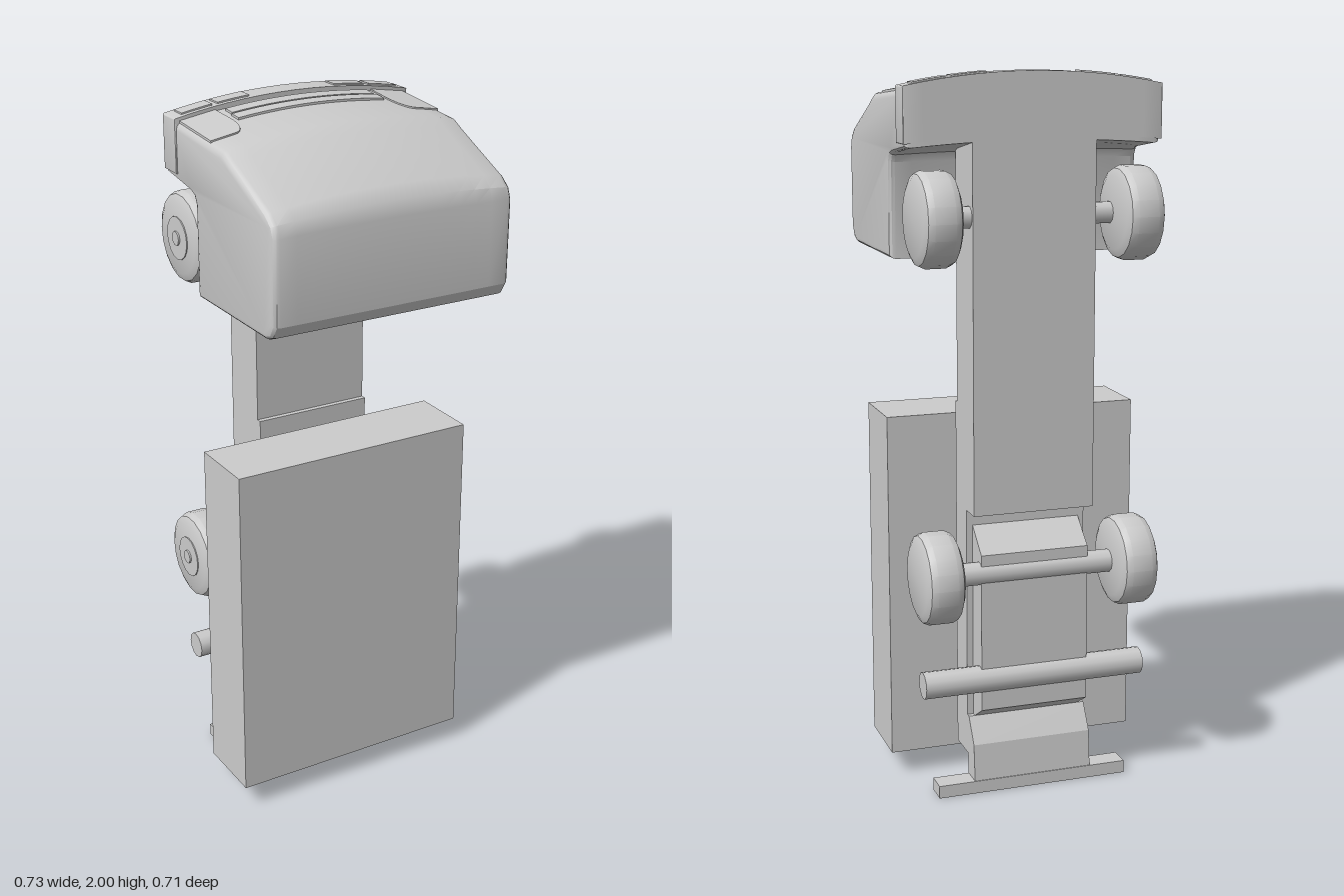
import * as THREE from 'three';
import { toCreasedNormals } from 'three/addons/utils/BufferGeometryUtils.js';

const mat = new THREE.MeshStandardMaterial({ color: 0xcccccc });

function add(parent, name, geo, x = 0, y = 0, z = 0) {
  const mesh = new THREE.Mesh(geo, mat);
  mesh.name = name;
  mesh.position.set(x, y, z);
  parent.add(mesh);
  return mesh;
}

// Sideways extrusion of a [z, y] profile, centred on x = 0
function sideExtrude(points, width, bevel = 0, steps = 1) {
  const shape = new THREE.Shape(points.map(([z, y]) => new THREE.Vector2(z, y)));
  const geo = new THREE.ExtrudeGeometry(shape, {
    depth: width - 2 * bevel, steps, bevelEnabled: bevel > 0,
    bevelSize: bevel, bevelThickness: bevel, bevelOffset: -bevel, bevelSegments: 3,
  });
  geo.translate(0, 0, -(width - 2 * bevel) / 2);
  geo.rotateY(-Math.PI / 2);
  return geo;
}

function moveY(geo, rule) {
  const p = geo.attributes.position;
  for (let i = 0; i < p.count; i++) p.setY(i, rule(p.getX(i), p.getY(i), p.getZ(i)));
  return toCreasedNormals(geo, 0.5);
}

// The nose of the cab is crowned: it falls away towards both sides
const crown = (x) => 0.035 * (x / 0.355) ** 2;
const bend = (x, y) => y - crown(x) * THREE.MathUtils.clamp((y - 1.75) / 0.15, 0, 1);
const noseY = (x, z) => 1.985 - 0.078 * (z + 0.165) - crown(x);

function addCab(parent) {
  const cab = new THREE.Group();
  cab.name = 'cab';
  parent.add(cab);

  // Body with stepped wheel arch on its underside
  const body = [
    [-0.07, 1.5], [0.305, 1.5], [0.335, 1.512], [0.355, 1.545], [0.357, 1.78], [0.345, 1.82],
    [0.315, 1.852], [0.13, 1.945], [0.09, 1.965], [-0.165, 1.985], [-0.235, 1.985],
    [-0.235, 1.82], [-0.1, 1.795], [-0.08, 1.785], [-0.07, 1.76],
  ];
  add(cab, 'cabBody', moveY(sideExtrude(body, 0.71, 0.018, 14), bend));

  // Bumper
  const bumper = [[-0.165, 1.835], [-0.165, 1.998], [-0.238, 1.998], [-0.238, 1.835]];
  add(cab, 'frontBumper', moveY(sideExtrude(bumper, 0.718, 0.004, 14), bend));

  // Grille slats
  [[-0.131, 0.435], [-0.086, 0.445]].forEach(([z, w]) => {
    const slat = new THREE.BoxGeometry(w, 0.012, 0.038, 12, 1, 1).translate(0, 0, z);
    add(cab, 'grilleSlat', moveY(slat, (x, y, zz) => noseY(x, zz) + y));
  });

  for (const s of [-1, 1]) {
    // Lamps set in the bumper
    [[0.286, 0.09], [0.178, 0.095]].forEach(([cx, w]) => {
      const lamp = new THREE.BoxGeometry(w, 0.01, 0.046, 4, 1, 1).translate(s * cx, 0, -0.203);
      add(cab, 'bumperLamp', moveY(lamp, (x, y) => 1.997 - crown(x) + y));
    });

    // Corner panels with a swept inner edge
    const panel = new THREE.Shape();
    panel.moveTo(s * 0.345, -0.165);
    panel.lineTo(s * 0.24, -0.165);
    panel.lineTo(s * 0.237, -0.07);
    panel.quadraticCurveTo(s * 0.242, 0.013, s * 0.275, 0.014);
    panel.lineTo(s * 0.345, 0.014);
    const geo = new THREE.ExtrudeGeometry(panel, { depth: 0.012, bevelEnabled: false, curveSegments: 6 });
    geo.rotateX(Math.PI / 2);
    add(cab, 'cornerPanel', moveY(geo, (x, y, z) => noseY(x, z) + y + 0.004));
  }
}

function addWheels(parent) {
  const tyre = [
    [0, -0.054], [0.1, -0.054], [0.12, -0.045], [0.128, -0.028],
    [0.128, 0.028], [0.12, 0.045], [0.1, 0.054], [0, 0.054],
  ].map(([r, a]) => new THREE.Vector2(r, a));
  const wheelGeo = toCreasedNormals(new THREE.LatheGeometry(tyre, 18).rotateZ(Math.PI / 2), 0.5);
  const hubGeo = new THREE.CylinderGeometry(0.06, 0.06, 0.006, 16).rotateZ(Math.PI / 2);
  const capGeo = new THREE.CylinderGeometry(0.02, 0.02, 0.012, 10).rotateZ(Math.PI / 2);
  for (const [label, y] of [['front', 1.62], ['rear', 0.645]]) {
    for (const s of [-1, 1]) {
      const wheel = new THREE.Group();
      wheel.name = label + (s > 0 ? 'LeftWheel' : 'RightWheel');
      wheel.position.set(s * 0.279, y, -0.226);
      add(wheel, 'tyre', wheelGeo);
      add(wheel, 'hub', hubGeo, -0.054);
      add(wheel, 'hubCap', capGeo, -0.056);
      parent.add(wheel);
    }
  }
}

export function createModel() {
  const model = new THREE.Group();
  model.name = 'truck';

  addCab(model);

  // Chassis spine, with a recess for the rear running gear and a kicked-up tail
  add(model, 'chassis', sideExtrude([
    [-0.07, 0.095], [-0.07, 1.1], [-0.085, 1.1], [-0.085, 1.85], [-0.2355, 1.85], [-0.2355, 0.81],
    [-0.165, 0.81], [-0.165, 0.21], [-0.18, 0.21], [-0.225, 0.14], [-0.235, 0.035], [-0.235, 0.002],
    [-0.175, 0.002], [-0.17, 0.095],
  ], 0.345));

  // Gear housing with sloped ends
  add(model, 'gearHousing', sideExtrude([
    [-0.16, 0.77], [-0.245, 0.7], [-0.245, 0.25], [-0.18, 0.21], [-0.16, 0.21],
  ], 0.31));

  // Tail bar
  add(model, 'tailBar', new THREE.BoxGeometry(0.555, 0.036, 0.062), 0, 0.018, -0.206);

  // Cargo box
  add(model, 'cargoBox', new THREE.BoxGeometry(0.725, 0.99, 0.206), 0, 0.565, 0.058);

  // Axles and cross bar
  const rod = (r, length, sides) => new THREE.CylinderGeometry(r, r, length, sides).rotateZ(Math.PI / 2);
  add(model, 'frontAxle', rod(0.03, 0.5, 10), 0, 1.62, -0.2);
  add(model, 'rearAxle', rod(0.032, 0.5, 10), 0, 0.645, -0.226);
  add(model, 'crossBar', rod(0.038, 0.64, 12), 0, 0.338, -0.228);

  addWheels(model);
  return model;
}
